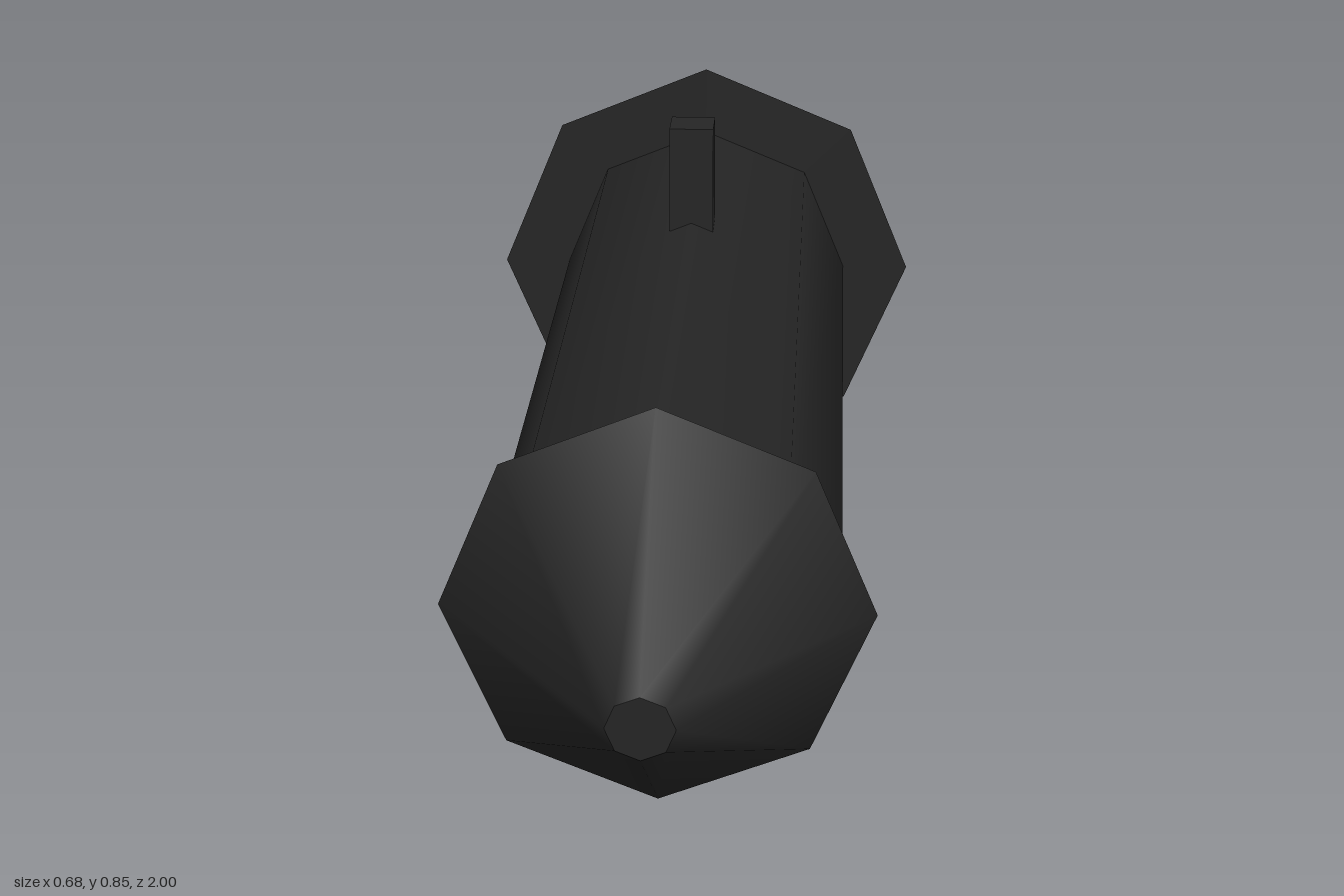
import * as THREE from 'three';

const AXIS_Y = 0.465;

export function createModel() {
  const model = new THREE.Group();
  const blackMetal = new THREE.MeshStandardMaterial({ color: 0x252525 });
  const redTip = new THREE.MeshStandardMaterial({ color: 0x780f12 });
  blackMetal.name = 'blackMetal';
  redTip.name = 'redTip';

  const add = (name, geometry, material, x, y, z) => {
    const mesh = new THREE.Mesh(geometry, material);
    mesh.name = name;
    mesh.position.set(x, y, z);
    model.add(mesh);
    return mesh;
  };

  // Eight-sided section along z, with a radius at its back and front
  const section = (name, zBack, zFront, rBack, rFront, material = blackMetal) => {
    const geometry = new THREE.CylinderGeometry(rFront, rBack, zFront - zBack, 8);
    geometry.rotateX(Math.PI / 2);
    return add(name, geometry, material, 0, AXIS_Y, (zBack + zFront) / 2);
  };

  section('barrel', -0.6, 0.75, 0.233, 0.233);
  section('nose', 0.705, 1, 0.277, 0.042);
  section('rearFlare', -0.805, -0.555, 0.233, 0.34);
  section('rearSpike', -1, -0.805, 0, 0.097, redTip);

  // Sight post on top
  add('sight', new THREE.BoxGeometry(0.065, 0.2, 0.062), blackMetal, 0, 0.745, -0.126);

  // Tilted grip, sunk into the barrel
  const gripGeometry = new THREE.BoxGeometry(0.127, 0.36, 0.146);
  gripGeometry.translate(0, 0.18, 0);
  add('grip', gripGeometry, blackMetal, 0, 0.018, 0.222).rotation.x = 0.25;

  return model;
}
